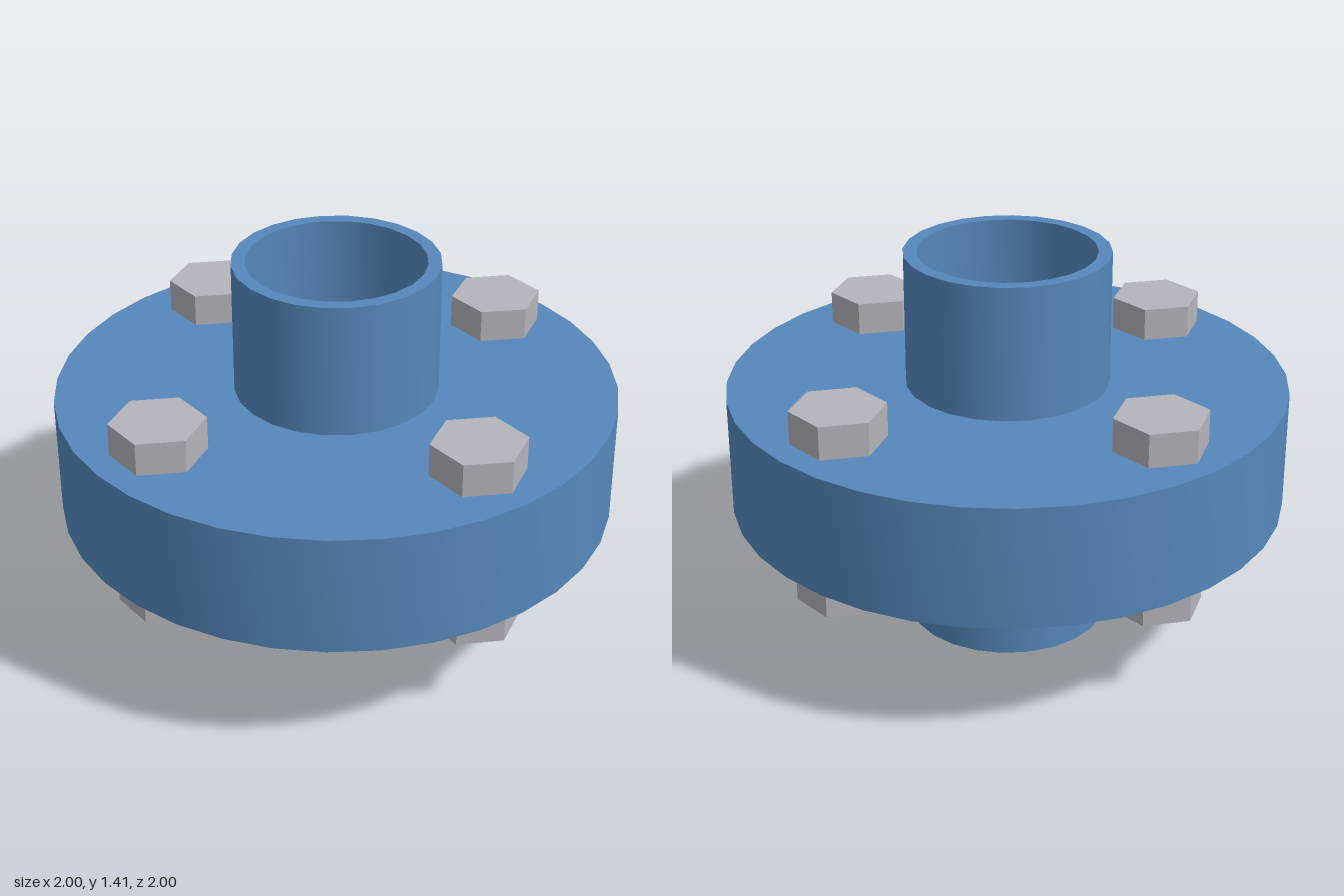
import * as THREE from 'three';
import { toCreasedNormals } from 'three/addons/utils/BufferGeometryUtils.js';

const blue = new THREE.MeshStandardMaterial({ color: 0x5588bb });
const steel = new THREE.MeshStandardMaterial({ color: 0xb4b4ba, flatShading: true });

// Revolve an [r, y] profile, keeping its corners sharp
function turned(name, profile, sides) {
  const points = profile.map(([r, y]) => new THREE.Vector2(r, y));
  const geometry = toCreasedNormals(new THREE.LatheGeometry(points, sides), 0.6);
  const mesh = new THREE.Mesh(geometry, blue);
  mesh.name = name;
  return mesh;
}

// Hexagon prism between two heights, corners pointing along x
function hexagon(name, bottom, top) {
  const geometry = new THREE.CylinderGeometry(0.166, 0.166, top - bottom, 6);
  geometry.rotateY(Math.PI / 6);
  const mesh = new THREE.Mesh(geometry, steel);
  mesh.name = name;
  mesh.position.y = (bottom + top) / 2;
  return mesh;
}

export function createModel() {
  const model = new THREE.Group();
  model.name = 'flangedPipeJoint';

  // Open pipe through the whole joint
  const outer = 0.365, bore = 0.317, height = 1.41;
  model.add(turned('pipe',
    [[bore, 0], [outer, 0], [outer, height], [bore, height], [bore, 0]], 24));

  // Thick round flange around the pipe
  const low = 0.49, high = 0.925;
  model.add(turned('flange', [[0.34, low], [1, low], [1, high], [0.34, high]], 36));

  // Four bolts, all turned the same way
  for (const [x, z] of [[1, 0], [0, 1], [-1, 0], [0, -1]]) {
    const bolt = new THREE.Group();
    bolt.name = 'bolt';
    bolt.position.set(x * 0.757, 0, z * 0.757);
    bolt.add(hexagon('boltHead', high, 1.045), hexagon('boltNut', 0.33, low));
    model.add(bolt);
  }
  return model;
}
